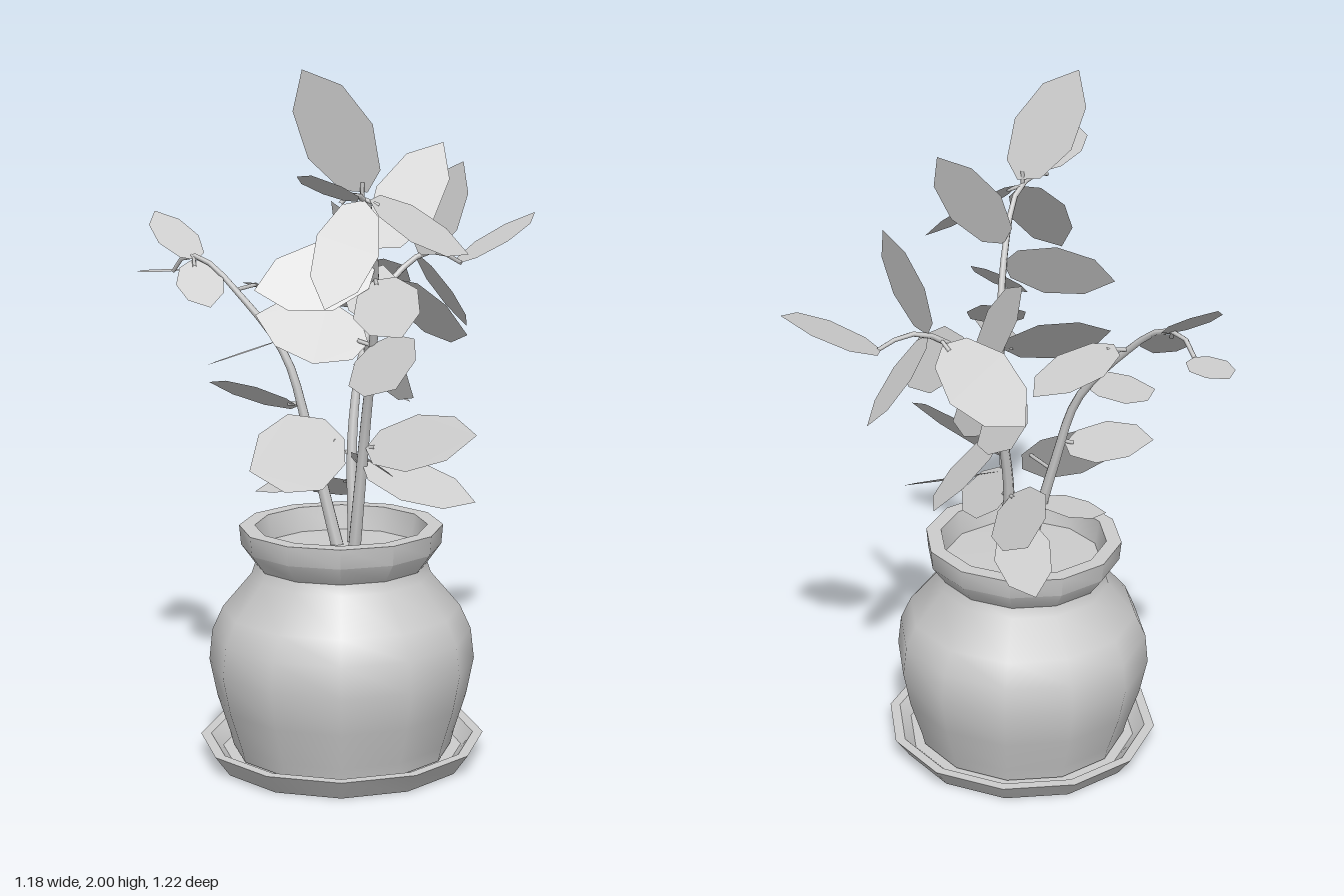
import * as THREE from 'three';
import { toCreasedNormals } from 'three/addons/utils/BufferGeometryUtils.js';

const V = (a) => new THREE.Vector3(...a);

export function createModel() {
  const plant = new THREE.Group();
  plant.name = 'pottedPlant';
  const clay = new THREE.MeshStandardMaterial({ name: 'light grey', color: 0xcccccc });
  const foliage = clay.clone();
  foliage.side = THREE.DoubleSide;

  const add = (name, geometry, material, parent = plant) => {
    const mesh = new THREE.Mesh(geometry, material);
    mesh.name = name;
    parent.add(mesh);
    return mesh;
  };

  // Twelve-sided saucer, pot and soil
  const turned = (name, profile) => {
    const pts = profile.map(([r, y]) => new THREE.Vector2(r, y));
    const geo = toCreasedNormals(new THREE.LatheGeometry(pts, 12), 0.65);
    add(name, geo, clay).position.x = -0.17;
  };
  turned('saucer', [[0, 0], [0.37, 0], [0.415, 0.062], [0.385, 0.062], [0.35, 0.025], [0, 0.025]]);
  turned('pot', [
    [0, 0.03], [0.32, 0.03], [0.33, 0.07], [0.365, 0.18], [0.387, 0.29], [0.377, 0.38], [0.345, 0.45],
    [0.26, 0.55], [0.25, 0.58], [0.29, 0.635], [0.295, 0.692], [0.25, 0.692], [0.235, 0.61],
  ]);
  turned('soil', [[0.24, 0.62], [0, 0.63]]);

  // Tapered stem swept along a curve
  const taperedStem = (name, points, parent) => {
    const curve = new THREE.CatmullRomCurve3(points.map(V));
    const rings = 20, sides = 6;
    const geo = new THREE.TubeGeometry(curve, rings, 0.021, sides);
    const pos = geo.attributes.position, v = new THREE.Vector3();
    for (let i = 0; i <= rings; i++) {
      const centre = curve.getPointAt(i / rings);
      for (let j = 0; j <= sides; j++) {
        const k = i * (sides + 1) + j;
        v.fromBufferAttribute(pos, k).sub(centre).multiplyScalar(1 - 0.7 * i / rings).add(centre);
        pos.setXYZ(k, v.x, v.y, v.z);
      }
    }
    add(name, geo, clay, parent);
    return curve;
  };

  // Flat pointed blade of unit length and unit width
  const half = [[0.1, 0.3], [0.42, 0.5], [0.77, 0.38]];
  const outline = [[0, 0], ...half.map(([t, w]) => [w, t]), [0, 1],
    ...half.map(([t, w]) => [-w, t]).reverse()];
  const blade = new THREE.ShapeGeometry(new THREE.Shape(outline.map((p) => new THREE.Vector2(...p))));

  // Leaf from base to tip, facing along the given normal, joined to its stem
  const leaf = (base, tip, normal, width, curve, parent) => {
    const b = V(base), along = V(tip).sub(b);
    const dir = along.clone().normalize();
    const across = dir.clone().cross(V(normal)).normalize();
    const n = across.clone().cross(dir);
    const m = new THREE.Matrix4()
      .makeBasis(across.multiplyScalar(width), along, n).setPosition(b);
    add('leaf', blade.clone().applyMatrix4(m), foliage, parent);

    let root = curve.getPoint(0), best = Infinity;
    for (let i = 0; i <= 60; i++) {
      const p = curve.getPoint(i / 60), d = p.distanceTo(b);
      if (d < best) { best = d; root = p; }
    }
    if (best > 0.01) {
      const stalk = new THREE.LineCurve3(root, b.clone().addScaledVector(dir, 0.03));
      add('leafStalk', new THREE.TubeGeometry(stalk, 1, 0.006, 5), clay, parent);
    }
  };

  // Each branch: stem path, then leaves as [base, tip, normal, width]
  const branches = {
    frontBranch: {
      path: [[-0.14, 0.6, 0.02], [-0.14, 1.0, 0.09], [-0.16, 1.26, 0.17], [-0.21, 1.5, 0.26],
        [-0.28, 1.65, 0.34], [-0.37, 1.68, 0.4], [-0.42, 1.66, 0.44]],
      leaves: [
        [[-0.29, 1.68, 0.36], [-0.47, 2.0, 0.335], [-0.4, -0.15, 0.85], 0.19],
        [[-0.41, 1.67, 0.44], [-0.59, 1.75, 0.6], [0.4, 0.95, -0.1], 0.16],
        [[-0.3, 1.66, 0.36], [-0.5, 1.4, 0.5], [-0.25, 0.6, 0.75], 0.17],
        [[-0.21, 1.52, 0.27], [-0.01, 1.8, 0.29], [-0.5, 0.33, 0.8], 0.18],
        [[-0.29, 1.66, 0.37], [-0.03, 1.51, 0.45], [0.25, 0.7, 0.55], 0.19],
        [[-0.2, 1.43, 0.24], [-0.27, 1.31, 0.5], [-0.5, 0.75, 0.25], 0.19],
        [[-0.2, 1.47, 0.25], [-0.51, 1.41, 0.13], [-0.4, 0.45, 0.8], 0.2],
        [[-0.16, 1.24, 0.16], [-0.3, 1.18, 0.52], [-0.6, 0.8, -0.08], 0.22],
        [[-0.16, 1.24, 0.14], [-0.43, 1.32, -0.02], [-0.2, 0.6, 0.7], 0.22],
        [[-0.19, 1.31, 0.17], [-0.04, 1.44, 0.02], [-0.2, 0.85, 0.6], 0.17],
        [[-0.14, 0.93, 0.09], [0.04, 1.0, 0.39], [-0.68, 0.65, 0.29], 0.19],
        [[-0.14, 0.88, 0.07], [0.11, 0.78, 0.28], [-0.08, 0.9, 0.45], 0.2],
      ],
    },
    leftBranch: {
      path: [[-0.11, 0.6, -0.03], [-0.085, 0.94, -0.08], [-0.03, 1.18, -0.11], [0.05, 1.34, -0.13],
        [0.18, 1.44, -0.14], [0.25, 1.447, -0.14], [0.32, 1.41, -0.125]],
      leaves: [
        [[0.18, 1.44, -0.14], [0.27, 1.72, -0.04], [0.85, -0.2, -0.25], 0.18],
        [[0.31, 1.41, -0.125], [0.59, 1.55, -0.13], [-0.4, 0.9, -0.1], 0.19],
        [[0.18, 1.44, -0.14], [0.37, 1.21, -0.17], [0.75, 0.6, 0.1], 0.15],
        [[0.14, 1.41, -0.15], [0.02, 1.27, -0.455], [0.5, 0.7, -0.5], 0.2],
        [[0.03, 1.33, -0.12], [-0.04, 1.6, -0.28], [0.95, 0.2, -0.05], 0.15],
        [[0.06, 1.35, -0.12], [0.16, 1.24, 0.155], [0.85, 0.5, -0.12], 0.2],
        [[-0.04, 1.19, -0.09], [0.02, 1.06, 0.09], [0.85, 0.25, -0.1], 0.16],
        [[-0.03, 1.18, -0.12], [0.05, 1.2, -0.43], [0.6, 0.8, 0.19], 0.18],
        [[-0.03, 1.11, -0.12], [0.23, 0.99, -0.31], [0.5, 0.8, 0.25], 0.18],
        [[-0.1, 0.87, -0.06], [-0.03, 0.8, 0.15], [0.75, 0.65, 0.1], 0.18],
        [[-0.1, 0.88, -0.08], [-0.01, 0.88, -0.41], [0.6, 0.78, 0.17], 0.2],
        [[-0.1, 0.8, -0.08], [-0.05, 0.7, -0.38], [0.4, 0.9, -0.25], 0.17],
      ],
    },
    backBranch: {
      path: [[-0.165, 0.6, -0.02], [-0.23, 0.97, -0.09], [-0.275, 1.18, -0.14], [-0.37, 1.36, -0.26],
        [-0.42, 1.437, -0.34], [-0.455, 1.45, -0.41], [-0.47, 1.4, -0.465]],
      leaves: [
        [[-0.44, 1.44, -0.37], [-0.48, 1.57, -0.565], [0, 0.8, 0.55], 0.14],
        [[-0.47, 1.4, -0.46], [-0.5, 1.39, -0.61], [0, 1, -0.07], 0.13],
        [[-0.45, 1.44, -0.38], [-0.47, 1.32, -0.22], [-0.3, 0.8, 0.55], 0.14],
        [[-0.33, 1.38, -0.25], [-0.05, 1.3, -0.34], [0.3, 0.75, -0.1], 0.19],
        [[-0.29, 1.22, -0.15], [-0.52, 1.17, -0.14], [-0.2, 0.95, -0.25], 0.16],
        [[-0.25, 1.03, -0.11], [-0.44, 1.09, -0.3], [0.5, 0.8, -0.2], 0.15],
        [[-0.17, 0.95, 0.02], [-0.48, 0.89, 0.03], [-0.05, 0.5, 0.85], 0.24],
        [[-0.19, 0.83, -0.06], [-0.38, 0.79, -0.13], [-0.1, 0.95, 0], 0.16],
      ],
    },
  };
  for (const [name, { path, leaves }] of Object.entries(branches)) {
    const group = new THREE.Group();
    group.name = name;
    plant.add(group);
    const curve = taperedStem('stem', path, group);
    for (const l of leaves) leaf(...l, curve, group);
  }
  return plant;
}
